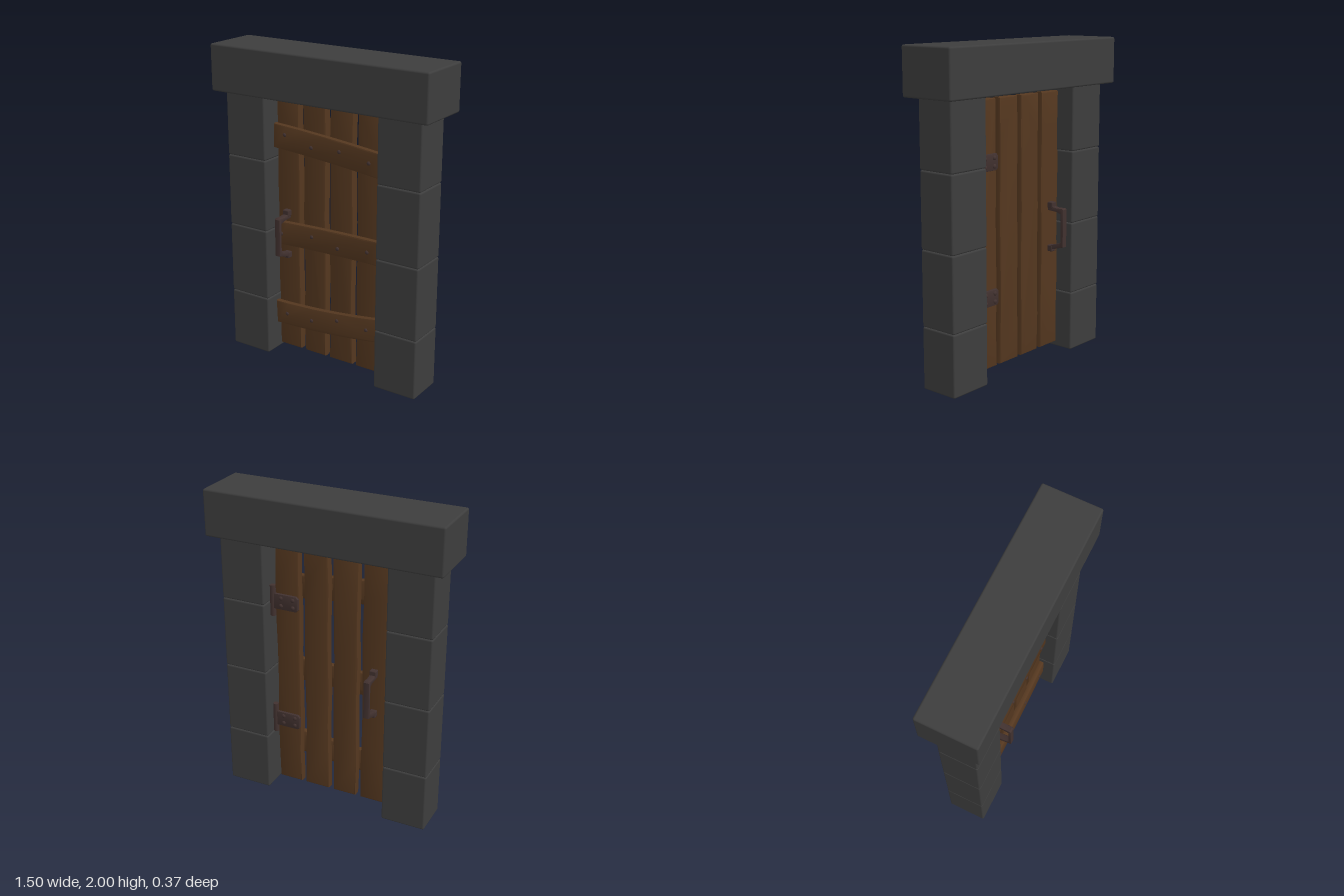
import * as THREE from 'three';
import { toCreasedNormals } from 'three/addons/utils/BufferGeometryUtils.js';
import { RoundedBoxGeometry } from 'three/addons/geometries/RoundedBoxGeometry.js';

const stone = new THREE.MeshStandardMaterial({ color: 0x3d3d3d });
const wood = new THREE.MeshStandardMaterial({ color: 0x54371f });
const iron = new THREE.MeshStandardMaterial({ color: 0x41312f });

function add(parent, name, geometry, material, x = 0, y = 0, z = 0) {
  const mesh = new THREE.Mesh(geometry, material);
  mesh.name = name;
  mesh.position.set(x, y, z);
  parent.add(mesh);
  return mesh;
}

// Extrudes a front outline from z0 to z1 with chamfered rims
function slab(points, z0, z1, bevel) {
  const shape = new THREE.Shape(points.map(([x, y]) => new THREE.Vector2(x, y)));
  const geo = new THREE.ExtrudeGeometry(shape, {
    depth: z1 - z0 - 2 * bevel, bevelEnabled: bevel > 0, bevelSize: bevel,
    bevelThickness: bevel, bevelOffset: -bevel, bevelSegments: 2,
  });
  geo.translate(0, 0, z0 + bevel);
  return toCreasedNormals(geo, 0.7);
}

// Upright plank with slightly uneven sides
function plank(x0, x1, seed) {
  const n = 7, left = [], right = [];
  for (let i = 0; i <= n; i++) {
    const y = 0.045 + (1.635 * i) / n;
    left.push([x0 + 0.004 * Math.sin(i * 2.3 + seed), y]);
    right.push([x1 + 0.004 * Math.sin(i * 1.7 + seed * 2), y]);
  }
  return slab([...right, ...left.reverse()], -0.03, 0.03, 0.012);
}

// Bent cross board: centre heights at the left end, middle and right end
function board(yl, ym, yr) {
  const n = 8, low = [], high = [];
  for (let i = 0; i <= n; i++) {
    const t = i / n, s = 1 - t;
    const y = yl * s * (s - t) + 4 * ym * s * t + yr * t * (t - s);
    const x = -0.38 + 0.755 * t, lean = (yr - yl) * 0.1;
    low.push([x + lean * 0.5, y - 0.077]);
    high.push([x - lean * 0.5, y + 0.077]);
  }
  return slab([...low, ...high.reverse()], 0.02, 0.06, 0.01);
}

// Bent pull bar with two mounting pads, facing +z
function handle(name) {
  const group = new THREE.Group();
  group.name = name;
  const profile = [
    [0.03, 0.135], [0.1, 0.125], [0.13, 0.11], [0.15, 0.12], [0.15, -0.12],
    [0.13, -0.125], [0.03, -0.155], [0.03, -0.125], [0.115, -0.1],
    [0.13, -0.09], [0.13, 0.09], [0.1, 0.1], [0.03, 0.105],
  ];
  // Profile is drawn in depth and height, then turned to run across x
  profile[2] = [0.14, 0.128];
  const bar = slab(profile, -0.019, 0.019, 0.004).rotateY(-Math.PI / 2);
  add(group, 'handleBar', bar, iron);
  for (const y of [0.138, -0.14])
    add(group, 'handlePad', new RoundedBoxGeometry(0.044, 0.04, 0.04, 1, 0.006), iron, 0, y, 0.045);
  group.position.set(-0.295, 0.832, 0);
  return group;
}

function stud(parent, name, r, x, y, z, material, facing = 1) {
  const geo = new THREE.SphereGeometry(r, 10, 5, 0, Math.PI * 2, 0, Math.PI / 2);
  geo.scale(1, 0.7, 1).rotateX((facing * Math.PI) / 2);
  add(parent, name, geo, material, x, y, z);
}

export function createModel() {
  const model = new THREE.Group();
  model.name = 'doorway';

  // Stone frame
  add(model, 'lintel', new RoundedBoxGeometry(1.5, 0.29, 0.37, 2, 0.012), stone, 0, 1.855, 0);
  const joints = [0, 0.383, 0.843, 1.303, 1.712];
  for (const side of [-1, 1]) {
    const pillar = new THREE.Group();
    pillar.name = side > 0 ? 'leftPillar' : 'rightPillar';
    for (let i = 0; i < 4; i++) {
      const h = joints[i + 1] - joints[i];
      add(pillar, 'pillarBlock', new RoundedBoxGeometry(0.286, h, 0.25, 2, 0.011), stone,
        side * 0.543, joints[i] + h / 2, 0);
    }
    model.add(pillar);
  }

  // Door leaf
  const door = new THREE.Group();
  door.name = 'door';
  model.add(door);
  [[-0.373, -0.211], [-0.179, -0.018], [0.014, 0.176], [0.209, 0.37]]
    .forEach(([a, b], i) => add(door, 'plank', plank(a, b, i * 1.9), wood));

  // Cross boards and their nails
  const boards = [
    { ends: [1.458, 1.428, 1.387], nails: [[-0.295, 1.473], [-0.1, 1.423], [0.1, 1.43], [0.305, 1.395]] },
    { ends: [0.828, 0.842, 0.845], nails: [[-0.33, 0.828], [-0.1, 0.853], [0.09, 0.818], [0.3, 0.842]] },
    { ends: [0.28, 0.297, 0.342], nails: [[-0.295, 0.284], [-0.105, 0.284], [0.087, 0.335], [0.3, 0.33]] },
  ];
  for (const { ends, nails } of boards) {
    add(door, 'crossBoard', board(...ends), wood);
    for (const [x, y] of nails) stud(door, 'nail', 0.013, x, y, 0.059, iron);
  }

  // Pull handles on both faces
  door.add(handle('frontHandle'));
  const back = handle('backHandle');
  back.rotation.y = Math.PI;
  door.add(back);

  // Hinges on the back of the door
  for (const y of [1.31, 0.49]) {
    const hinge = new THREE.Group();
    hinge.name = 'hinge';
    add(hinge, 'hingeBarrel', new THREE.CylinderGeometry(0.018, 0.018, 0.2, 12), iron, 0.385, y, -0.034);
    const plate = [[0.225, y - 0.05], [0.385, y - 0.05], [0.385, y + 0.05], [0.225, y + 0.05], [0.21, y + 0.035], [0.21, y - 0.035]];
    add(hinge, 'hingePlate', slab(plate, -0.046, -0.026, 0.004), iron);
    for (const x of [0.245, 0.325])
      for (const dy of [-0.025, 0.025]) stud(hinge, 'hingeBolt', 0.014, x, y + dy, -0.045, iron, -1);
    door.add(hinge);
  }
  return model;
}
